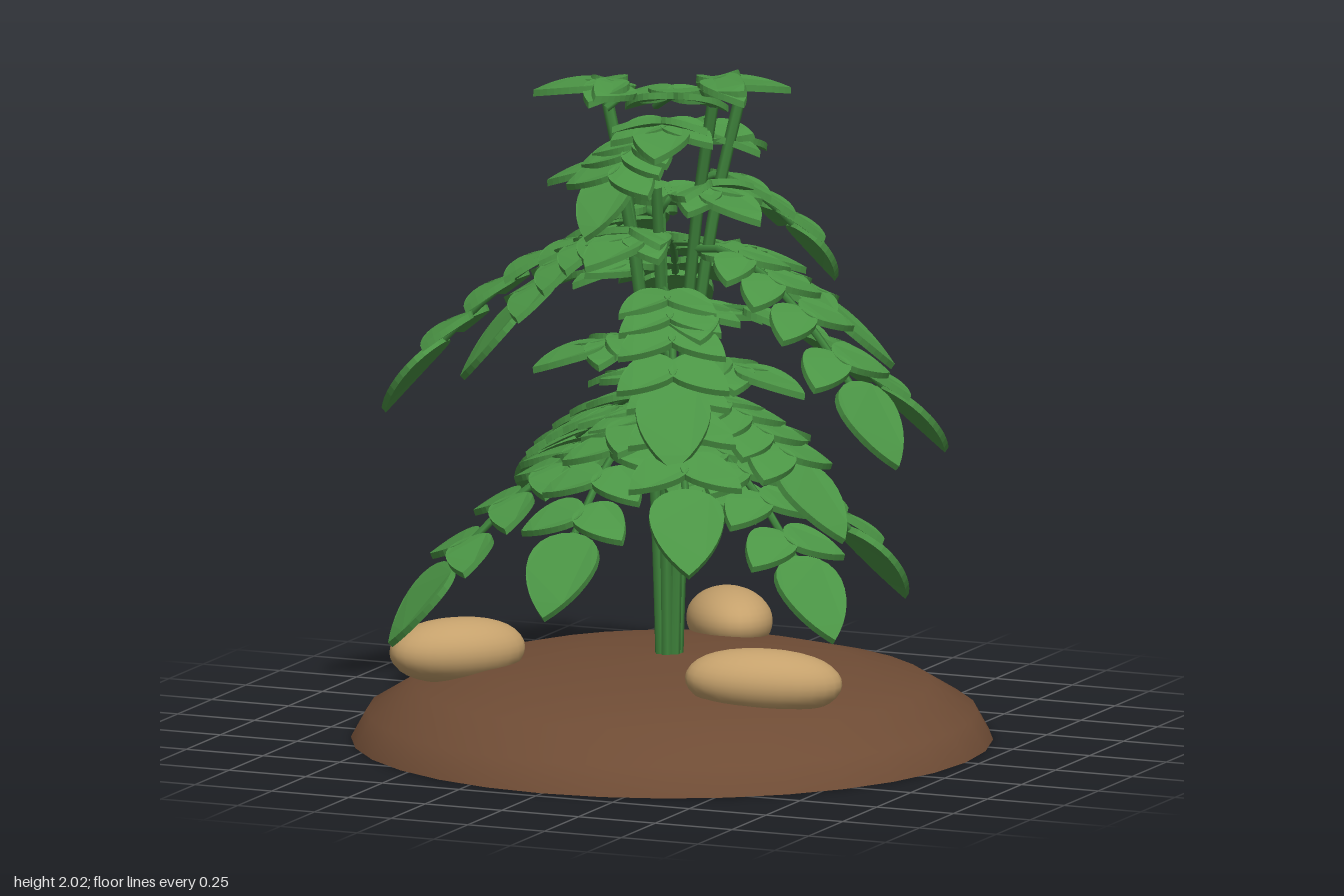
import * as THREE from 'three';

const mat = (name, color) => {
  const m = new THREE.MeshStandardMaterial({ color });
  m.name = name;
  return m;
};
const UP = new THREE.Vector3(0, 1, 0);

// Unit leaf: pointed oval of length 1 along +y, thin in z, tip curving down
function leafGeometry() {
  const s = new THREE.Shape();
  s.moveTo(0, 0);
  s.bezierCurveTo(0.3, 0.02, 0.42, 0.22, 0.36, 0.46);
  s.quadraticCurveTo(0.29, 0.76, 0, 1);
  s.quadraticCurveTo(-0.29, 0.76, -0.36, 0.46);
  s.bezierCurveTo(-0.42, 0.22, -0.3, 0.02, 0, 0);
  const g = new THREE.ExtrudeGeometry(s, { depth: 0.1, bevelEnabled: false, curveSegments: 6 });
  const p = g.attributes.position;
  for (let i = 0; i < p.count; i++) p.setZ(i, p.getZ(i) - 0.05 - 0.2 * p.getY(i) ** 2);
  g.computeVertexNormals();
  return g;
}

// Blunt ellipsoid of unit radius, fuller towards its ends
function potatoGeometry() {
  const g = new THREE.SphereGeometry(1, 28, 18);
  const p = g.attributes.position;
  for (let i = 0; i < p.count; i++) {
    const k = 1 + 0.12 * p.getX(i) ** 2;
    p.setY(i, p.getY(i) * k);
    p.setZ(i, p.getZ(i) * k);
  }
  return g;
}

// Centre line of a stem, leaning outward as it rises
const STEMS = 7;
function stemPoint(i, y) {
  const a = (i / STEMS) * Math.PI * 2 + 0.5;
  const t = (y - 0.2) / 1.75;
  const r = 0.024 + 0.05 * t + 0.14 * t ** 3;
  return new THREE.Vector3(-0.01 + Math.cos(a) * r, y, Math.sin(a) * r);
}

// Long compound leaves: tip x, y, z and droop angle
const LONG_LEAVES = [
  [-0.68, 0.33, 0.58, 0.8], [-0.22, 0.48, -0.82, 0.75], [-0.05, 0.5, 0.85, 0.75],
  [0.73, 0.42, 0.43, 0.75], [0.48, 0.35, -0.68, 0.75], [-0.66, 0.6, -0.66, 0.6],
  [-0.94, 0.93, 0.04, 0.78], [0.87, 0.93, 0.27, 0.8], [0.42, 0.66, 0.82, 0.75],
  [0.6, 0.8, -0.7, 0.7], [0.28, 0.93, 0.62, 0.8], [0.62, 1.13, -0.26, 0.65],
  [-0.57, 1.1, 0.3, 0.8], [-0.25, 1.12, -0.6, 0.7], [0.64, 0.67, 0.15, 0.7],
  [-0.6, 0.68, -0.2, 0.6], [-0.1, 1.58, 0.44, 0.7], [0.36, 1.35, -0.44, 0.75],
  [-0.42, 1.38, -0.3, 0.5],
];
// Level leaves at the very top
const CROWN = [[0.31, 1.965, -0.17, 0], [-0.37, 1.965, 0.18, 0], [-0.08, 1.92, -0.26, 0]];

// Short, nearly level leaves spiralling up the plant
function spiralLeaves(count) {
  const list = [];
  for (let i = 0; i < count; i++) {
    const a = i * 2.4 + 0.6;
    const t = i / (count - 1);
    const r = 0.48 - 0.12 * t;
    list.push([Math.cos(a) * r, 0.74 + 1.08 * t, Math.sin(a) * r, 0.18]);
  }
  return list;
}

export function createModel() {
  const model = new THREE.Group();
  const soil = mat('soil brown', 0x6f4c35);
  const skin = mat('potato tan', 0xc5a16c);
  const leafMat = mat('leaf green', 0x4b9545);
  const stemMat = mat('stem green', 0x3f843c);
  const add = (parent, name, geo, m) => {
    const mesh = new THREE.Mesh(geo, m);
    mesh.name = name;
    parent.add(mesh);
    return mesh;
  };

  // Soil mound with a flat underside
  const profile = [[0.957, 0], [0.91, 0.085], [0.77, 0.17], [0.56, 0.222], [0.3, 0.25], [0, 0.26]];
  add(model, 'mound', new THREE.LatheGeometry(profile.map(([x, y]) => new THREE.Vector2(x, y)), 32), soil);
  add(model, 'moundBase', new THREE.CircleGeometry(0.957, 32), soil).rotation.x = Math.PI / 2;

  // Potatoes, half buried: x, y, z, yaw, tilt, half length
  const potatoGeo = potatoGeometry();
  for (const [x, y, z, yaw, tilt, len] of [
    [-0.58, 0.27, 0.27, 0.78, 0, 0.21],
    [0.445, 0.265, 0.33, 0.45, -0.06, 0.235],
    [-0.07, 0.255, -0.58, -1.0, 0.06, 0.22],
  ]) {
    const p = add(model, 'potato', potatoGeo, skin);
    p.position.set(x, y, z);
    p.rotation.set(0, yaw, tilt);
    p.scale.set(len, 0.097, 0.125);
  }

  // Stems rising in a bundle
  [1.95, 1.7, 1.8, 1.95, 1.6, 1.85, 1.93].forEach((top, i) => {
    const pts = [];
    for (let k = 0; k <= 6; k++) pts.push(stemPoint(i, 0.2 + (top - 0.2) * k / 6));
    add(model, 'stem', new THREE.TubeGeometry(new THREE.CatmullRomCurve3(pts), 14, 0.018, 6), stemMat);
  });

  // One leaflet growing from a point along dir, its face towards up
  const leafGeo = leafGeometry();
  const leaflet = (parent, name, at, dir, up, size) => {
    const f = dir.clone().normalize();
    const x = f.clone().cross(up).normalize();
    const mesh = add(parent, name, leafGeo, leafMat);
    mesh.quaternion.setFromRotationMatrix(new THREE.Matrix4().makeBasis(x, f, x.clone().cross(f)));
    mesh.position.copy(at);
    mesh.scale.set(size, size, 0.2);
  };

  // Compound leaves: drooping stalk, paired leaflets and one end leaflet
  [...LONG_LEAVES, ...CROWN, ...spiralLeaves(17)].forEach(([tx, ty, tz, droop], index) => {
    const group = new THREE.Group();
    group.name = 'compoundLeaf';
    model.add(group);
    const r = Math.hypot(tx, tz);
    const out = new THREE.Vector3(tx / r, 0, tz / r);
    const long = r > 0.6;
    const size = long ? 0.3 : 0.23;
    const pairs = long ? 4 : droop > 0.4 ? 3 : 2;
    const rE = r - size * Math.cos(droop);
    const yE = ty + size * Math.sin(droop) + 0.02;
    const y0 = yE + 0.55 * rE * Math.tan(droop);

    // The stalk leaves the stem that leans most in its direction
    let start = stemPoint(0, y0 - 0.06);
    for (let i = 1; i < STEMS; i++) {
      const p = stemPoint(i, y0 - 0.06);
      if (p.dot(out) > start.dot(out)) start = p;
    }
    const end = out.clone().multiplyScalar(rE).setY(yE);
    const mid = out.clone().multiplyScalar(rE * 0.47).setY(y0 + 0.01);
    const curve = new THREE.QuadraticBezierCurve3(start, mid, end);
    add(group, 'leafStalk', new THREE.TubeGeometry(curve, 8, 0.012, 5), stemMat);

    const side = new THREE.Vector3(-out.z, 0, out.x);
    for (let k = 0; k < pairs; k++) {
      const t = 0.9 - (k * 0.75) / pairs;
      const at = curve.getPoint(t).addScaledVector(UP, 0.003 * ((index + k) % 3));
      const slope = 0.6 * curve.getTangent(t).y;
      const up = UP.clone().addScaledVector(out, -slope);
      for (const m of [-1, 1]) {
        const dir = side.clone().multiplyScalar(m * 0.85).addScaledVector(out, 0.5).setY(0.5 * slope);
        leaflet(group, 'sideLeaflet', at, dir, up, (long ? 0.2 : 0.18) - 0.01 * k);
      }
    }
    const dir = out.clone().multiplyScalar(Math.cos(droop)).setY(0.06 - Math.sin(droop));
    leaflet(group, 'endLeaflet', end, dir, UP, size);
  });
  return model;
}
